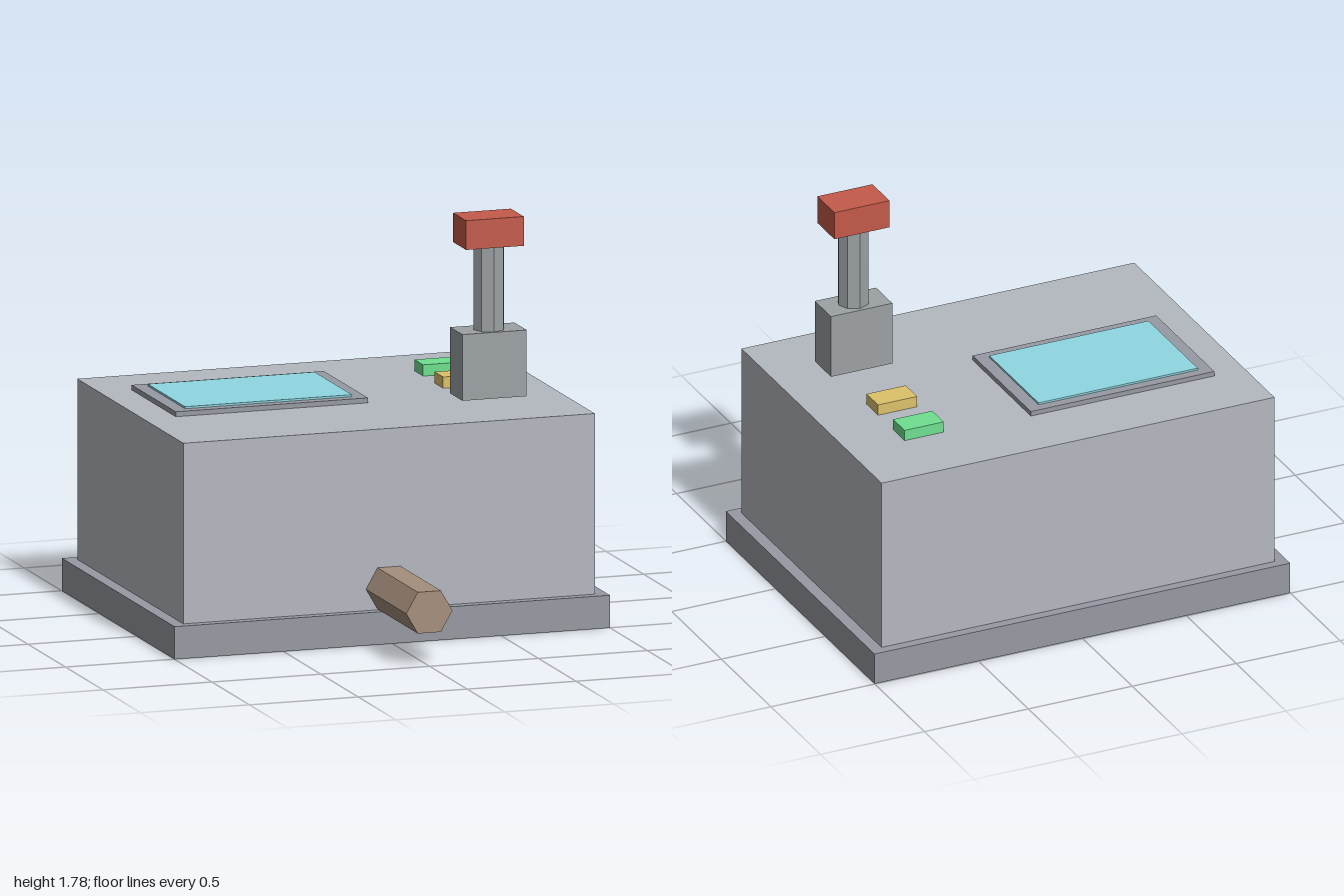
import * as THREE from 'three';

const paint = (color) => new THREE.MeshStandardMaterial({ color, flatShading: true });
const bodyGrey = paint(0xb4b8c0);
const trimGrey = paint(0x969aa2);
const leverGrey = paint(0x9ca1a4);
const red = paint(0xc45a4a);
const cyan = paint(0x8fd8e2);
const green = paint(0x6fe090);
const yellow = paint(0xdcc26a);
const brown = paint(0xa58f7c);

function add(parent, name, geometry, material) {
  const mesh = new THREE.Mesh(geometry, material);
  mesh.name = name;
  parent.add(mesh);
  return mesh;
}

// Box given by its extents along each axis
function block(parent, name, [x0, x1], [y0, y1], [z0, z1], material) {
  const mesh = add(parent, name, new THREE.BoxGeometry(x1 - x0, y1 - y0, z1 - z0), material);
  mesh.position.set((x0 + x1) / 2, (y0 + y1) / 2, (z0 + z1) / 2);
  return mesh;
}

export function createModel() {
  const model = new THREE.Group();
  model.name = 'controlConsole';
  const top = 0.947;

  // Cabinet on a wider plinth
  block(model, 'plinth', [-1, 1], [0, 0.145], [-0.997, 0.503], trimGrey);
  block(model, 'cabinet', [-0.945, 0.945], [0.002, top], [-0.953, 0.46], bodyGrey);

  // Screen lying on the top
  const display = new THREE.Group();
  display.name = 'display';
  block(display, 'screenFrame', [-0.797, 0.086], [top, 0.969], [-0.658, -0.07], trimGrey);
  block(display, 'screen', [-0.738, 0.028], [0.955, 0.978], [-0.614, -0.117], cyan);
  model.add(display);

  // Push buttons
  [['greenButton', -0.574, green], ['yellowButton', -0.307, yellow]].forEach(([name, z, material]) =>
    block(model, name, [0.493, 0.681], [top, 0.997], [z - 0.058, z + 0.058], material));

  // Lever: housing, octagonal shaft and red grip
  const lever = new THREE.Group();
  lever.name = 'lever';
  block(lever, 'leverHousing', [0.44, 0.735], [0.978, 1.272], [-0.003, 0.161], leverGrey);
  add(lever, 'leverShaft', new THREE.CylinderGeometry(0.07, 0.07, 0.4, 8), leverGrey)
    .position.set(0.588, 1.46, 0.083);
  block(lever, 'leverGrip', [0.455, 0.72], [1.648, 1.778], [-0.006, 0.166], red);
  model.add(lever);

  // Hexagonal spout on the front, corners pointing sideways
  const spout = add(model, 'spout', new THREE.CylinderGeometry(0.106, 0.106, 0.54, 6), brown);
  spout.geometry.rotateY(Math.PI / 2).rotateX(Math.PI / 2);
  spout.position.set(0, 0.24, 0.727);

  return model;
}
